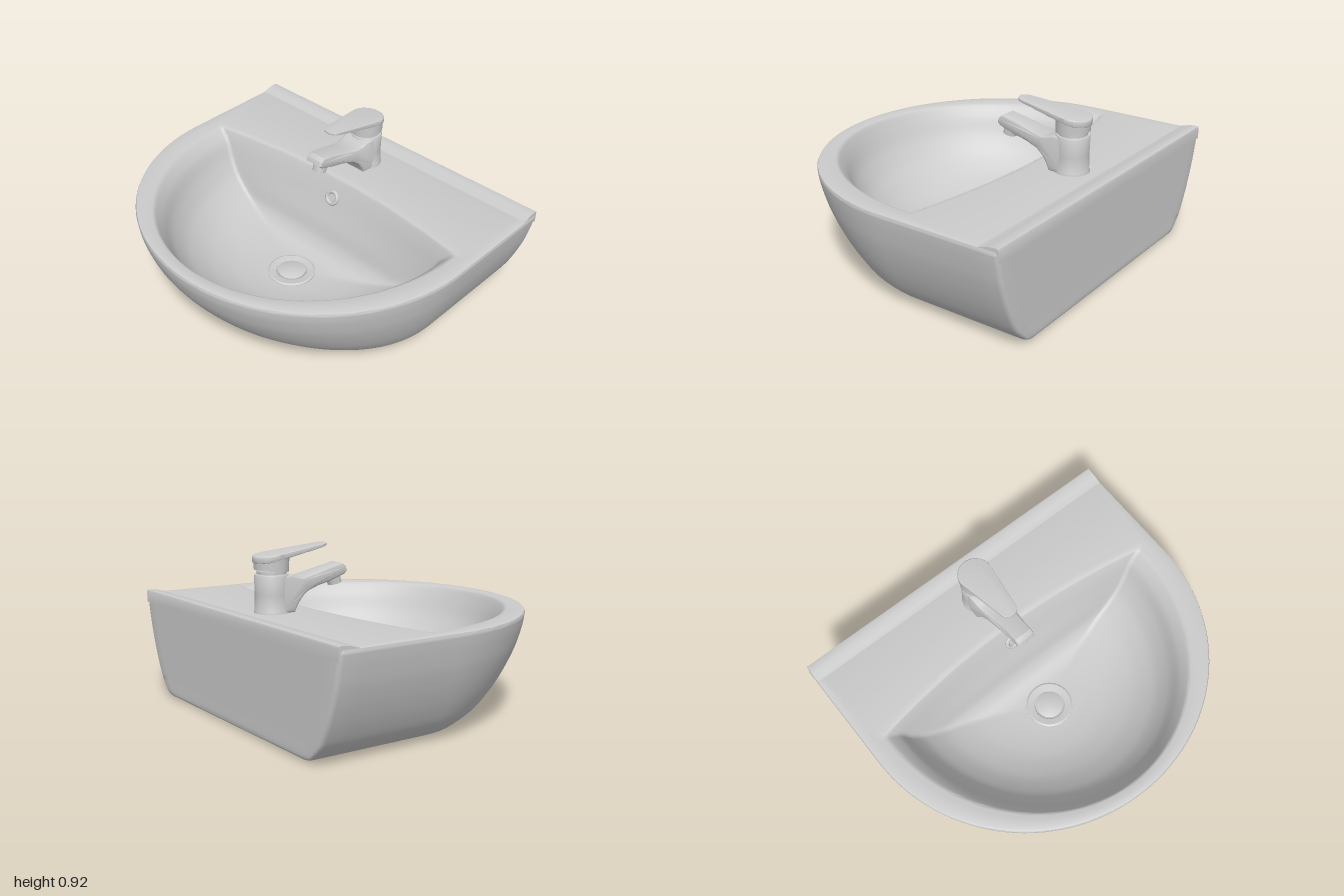
import * as THREE from 'three';
import { toCreasedNormals } from 'three/addons/utils/BufferGeometryUtils.js';

const material = new THREE.MeshStandardMaterial({ color: 0xcccccc, roughness: 0.5 });
const lerp = THREE.MathUtils.lerp;

function add(parent, name, geometry, x = 0, y = 0, z = 0) {
  const mesh = new THREE.Mesh(geometry, material);
  mesh.name = name;
  mesh.position.set(x, y, z);
  parent.add(mesh);
  return mesh;
}

// D-shaped outline: back edge, rounded corners, straight sides, elliptical front
function outline([y, w, zb, bow, zc, zf]) {
  const pts = [];
  const r = Math.min(0.025, w * 0.2);
  const put = (x, z) => pts.push([x, y, z]);
  for (let i = 0; i <= 24; i++) {
    const x = lerp(-w + r, w - r, i / 24);
    put(x, zb - bow * (1 - (x / (w - r)) ** 2));
  }
  for (let i = 1; i <= 4; i++) {
    const a = (i / 4) * Math.PI / 2;
    put(w - r + r * Math.sin(a), zb + r - r * Math.cos(a));
  }
  for (let i = 1; i < 6; i++) put(w, lerp(zb + r, zc, i / 6));
  for (let i = 0; i <= 64; i++) {
    const a = (i / 64) * Math.PI;
    put(w * Math.cos(a), zc + (zf - zc) * Math.sin(a));
  }
  for (let i = 1; i < 6; i++) put(-w, lerp(zc, zb + r, i / 6));
  for (let i = 0; i < 4; i++) {
    const a = (i / 4) * Math.PI / 2;
    put(-w + r - r * Math.cos(a), zb + r - r * Math.sin(a));
  }
  return pts;
}

// Smoothly resample a list of levels
function refine(levels, count) {
  const curve = (from) => new THREE.CatmullRomCurve3(
    levels.map((l) => new THREE.Vector3(...l.slice(from, from + 3))), false, 'catmullrom', 0.4);
  const a = curve(0), b = curve(3);
  return Array.from({ length: count + 1 }, (_, i) =>
    [...a.getPoint(i / count).toArray(), ...b.getPoint(i / count).toArray()]);
}

function loft(levels, crease) {
  const loops = levels.map(outline);
  const n = loops[0].length;
  const index = [];
  for (let i = 0; i < loops.length - 1; i++) {
    for (let j = 0; j < n; j++) {
      const k = (j + 1) % n;
      const a = i * n + j, b = i * n + k, c = a + n, d = b + n;
      index.push(a, c, b, b, c, d);
    }
  }
  const g = new THREE.BufferGeometry();
  g.setAttribute('position', new THREE.Float32BufferAttribute(loops.flat(2), 3));
  g.setIndex(index);
  return toCreasedNormals(g, crease);
}

// Extrude a (z, y) side profile across x, centred
function sideExtrude(points, width, bevel = 0) {
  const shape = new THREE.Shape(points.map((p) => new THREE.Vector2(...p)));
  const g = new THREE.ExtrudeGeometry(shape, {
    depth: width - 2 * bevel, bevelEnabled: bevel > 0, bevelSize: bevel,
    bevelThickness: bevel, bevelOffset: -bevel, bevelSegments: 4,
  });
  g.translate(0, 0, -width / 2 + bevel);
  g.rotateY(-Math.PI / 2);
  return g;
}

const lathe = (pts, seg = 48) => toCreasedNormals(
  new THREE.LatheGeometry(pts.map((p) => new THREE.Vector2(...p)), seg), 0.6);

export function createModel() {
  const model = new THREE.Group();
  model.name = 'washbasin';

  // Basin skin, columns: y, half width, back z, back bow, arc centre z, front z
  const outer = refine([
    [0.003, 0.66, -0.80, 0, -0.15, 0.18],
    [0.012, 0.72, -0.825, 0, -0.15, 0.28],
    [0.03, 0.765, -0.833, 0, -0.15, 0.38],
    [0.10, 0.835, -0.833, 0, -0.15, 0.53],
    [0.20, 0.89, -0.833, 0, -0.15, 0.65],
    [0.30, 0.932, -0.833, 0, -0.15, 0.73],
    [0.40, 0.965, -0.833, 0, -0.15, 0.79],
    [0.50, 0.988, -0.833, 0, -0.15, 0.828],
    [0.56, 0.998, -0.833, 0, -0.15, 0.838],
  ], 32);
  const bowl = refine([
    [0.572, 0.92, -0.26, 0.092, -0.23, 0.785],
    [0.563, 0.88, -0.255, 0.085, -0.22, 0.762],
    [0.50, 0.82, -0.245, 0.068, -0.21, 0.73],
    [0.40, 0.77, -0.23, 0.045, -0.19, 0.68],
    [0.30, 0.70, -0.215, 0.02, -0.17, 0.60],
    [0.21, 0.58, -0.195, 0.01, -0.13, 0.48],
    [0.15, 0.42, -0.15, 0.01, -0.08, 0.35],
    [0.12, 0.24, -0.08, 0.01, -0.02, 0.21],
    [0.11, 0.01, 0.03, 0, 0.04, 0.05],
  ], 36);
  add(model, 'basin', loft([
    [0, 0.01, -0.31, 0, -0.3, -0.29],
    [0, 0.60, -0.78, 0, -0.15, 0.1],
    ...outer,
    [0.57, 0.994, -0.83, 0, -0.15, 0.833],
    [0.574, 0.982, -0.82, 0, -0.15, 0.82],
    [0.574, 0.94, -0.28, 0.1, -0.23, 0.8],
    ...bowl,
  ], 0.75));

  // Raised lip along the wall
  add(model, 'backLip', toCreasedNormals(sideExtrude([
    [-0.835, 0.52], [-0.72, 0.56], [-0.725, 0.574], [-0.745, 0.577], [-0.765, 0.584],
    [-0.79, 0.589], [-0.82, 0.592], [-0.831, 0.589], [-0.835, 0.58],
  ], 1.985), 0.7));

  // Drain with plug
  add(model, 'drain', lathe([
    [0.135, 0], [0.135, 0.012], [0.125, 0.018], [0.09, 0.012], [0.083, 0.004],
    [0.08, 0.004], [0.08, 0.016], [0.07, 0.021], [0, 0.024],
  ]), 0, 0.108, 0.04);

  // Overflow outlet on the back wall of the bowl
  const overflow = new THREE.Group();
  overflow.name = 'overflow';
  overflow.position.set(0, 0.46, -0.293);
  overflow.rotation.x = -0.38;
  add(overflow, 'overflowRing', new THREE.TorusGeometry(0.036, 0.012, 12, 32));
  add(overflow, 'overflowCup', new THREE.CircleGeometry(0.03, 24), 0, 0, -0.002);
  model.add(overflow);

  // Tap
  const tap = new THREE.Group();
  tap.name = 'tap';
  tap.position.x = -0.01;
  model.add(tap);

  add(tap, 'tapBody', lathe([
    [0, 0], [0.094, 0], [0.094, 0.008], [0.09, 0.015], [0.088, 0.1],
    [0.09, 0.195], [0.086, 0.203], [0.076, 0.204], [0.076, 0.22], [0, 0.22],
  ]), 0, 0.57, -0.58);

  // Spout, narrowing towards its tip
  const spout = sideExtrude([
    [-0.58, 0.574], [-0.485, 0.574], [-0.47, 0.605], [-0.44, 0.645], [-0.40, 0.675],
    [-0.33, 0.697], [-0.25, 0.715], [-0.16, 0.745], [-0.142, 0.762], [-0.15, 0.787],
    [-0.172, 0.805], [-0.25, 0.79], [-0.35, 0.765], [-0.43, 0.748], [-0.47, 0.755],
    [-0.50, 0.768], [-0.58, 0.768],
  ], 0.17, 0.014);
  const sp = spout.attributes.position;
  for (let i = 0; i < sp.count; i++) {
    const t = THREE.MathUtils.smoothstep(sp.getZ(i), -0.56, -0.25);
    sp.setX(i, sp.getX(i) * lerp(1, 0.64, t));
  }
  add(tap, 'spout', toCreasedNormals(spout, 0.6));
  const aerator = add(tap, 'aerator', lathe([
    [0, -0.005], [0.028, -0.005], [0.03, -0.02], [0.038, -0.02], [0.038, 0.04], [0, 0.04],
  ], 32), 0, 0.714, -0.196);
  aerator.rotation.x = -0.25;

  // Handle head with a sloping top
  const head = new THREE.CylinderGeometry(0.093, 0.09, 0.085, 48);
  const hp = head.attributes.position;
  for (let i = 0; i < hp.count; i++) {
    if (hp.getY(i) > 0) hp.setY(i, hp.getY(i) + hp.getZ(i) * 0.12);
    else hp.setY(i, hp.getY(i) - hp.getZ(i) * 0.08);
  }
  add(tap, 'handleHead', toCreasedNormals(head, 0.6), 0, 0.833, -0.58);

  // Lever: a rounded, tapering plate rising to the front
  const plan = new THREE.Shape();
  plan.absarc(0, 0.585, 0.093, -0.15, Math.PI + 0.15, false);
  plan.lineTo(-0.05, 0.3);
  plan.absarc(0, 0.3, 0.05, Math.PI, Math.PI * 2, false);
  const lever = new THREE.ExtrudeGeometry(plan, {
    depth: 0.02, bevelThickness: 0.005, bevelSize: 0.008, bevelOffset: -0.008,
    bevelSegments: 3, curveSegments: 24,
  });
  lever.rotateX(-Math.PI / 2);
  const lp = lever.attributes.position;
  for (let i = 0; i < lp.count; i++) {
    const t = (lp.getZ(i) + 0.68) / 0.43;
    lp.setY(i, lerp(0.868, 0.919, t) + (lp.getY(i) - 0.025) * lerp(1.3, 0.5, t));
  }
  add(tap, 'lever', toCreasedNormals(lever, 0.6));

  return model;
}
